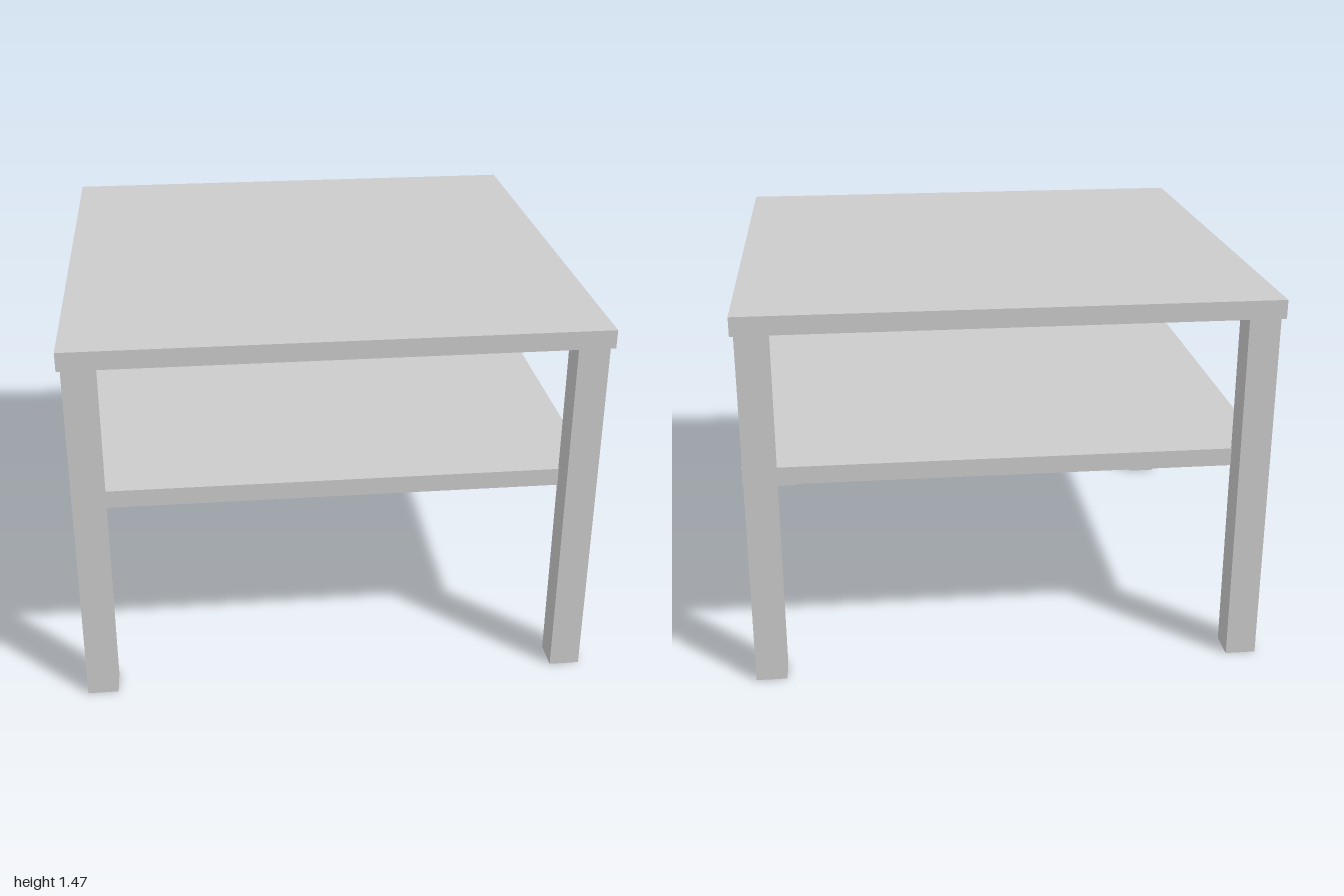
import * as THREE from 'three';

export function createModel() {
  const table = new THREE.Group();
  table.name = 'table';
  const material = new THREE.MeshStandardMaterial({ color: 0xcccccc });

  // Box resting on height "bottom", centred on (x, z)
  const addBox = (name, width, height, depth, x, bottom, z) => {
    const mesh = new THREE.Mesh(new THREE.BoxGeometry(width, height, depth), material);
    mesh.name = name;
    mesh.position.set(x, bottom + height / 2, z);
    table.add(mesh);
  };

  const legHeight = 1.401;
  const legWidth = 0.118;

  // Square top and the lower shelf, which fits between front and back legs
  addBox('tableTop', 2, 0.071, 2, 0, legHeight, 0);
  addBox('shelf', 2, 0.07, 1.73, 0, 0.771, 0);

  // Four square legs
  for (const [side, x] of [['Left', 0.929], ['Right', -0.929]]) {
    for (const [end, z] of [['front', 0.918], ['back', -0.918]]) {
      addBox(`${end}${side}Leg`, legWidth, legHeight, legWidth, x, 0, z);
    }
  }

  return table;
}
